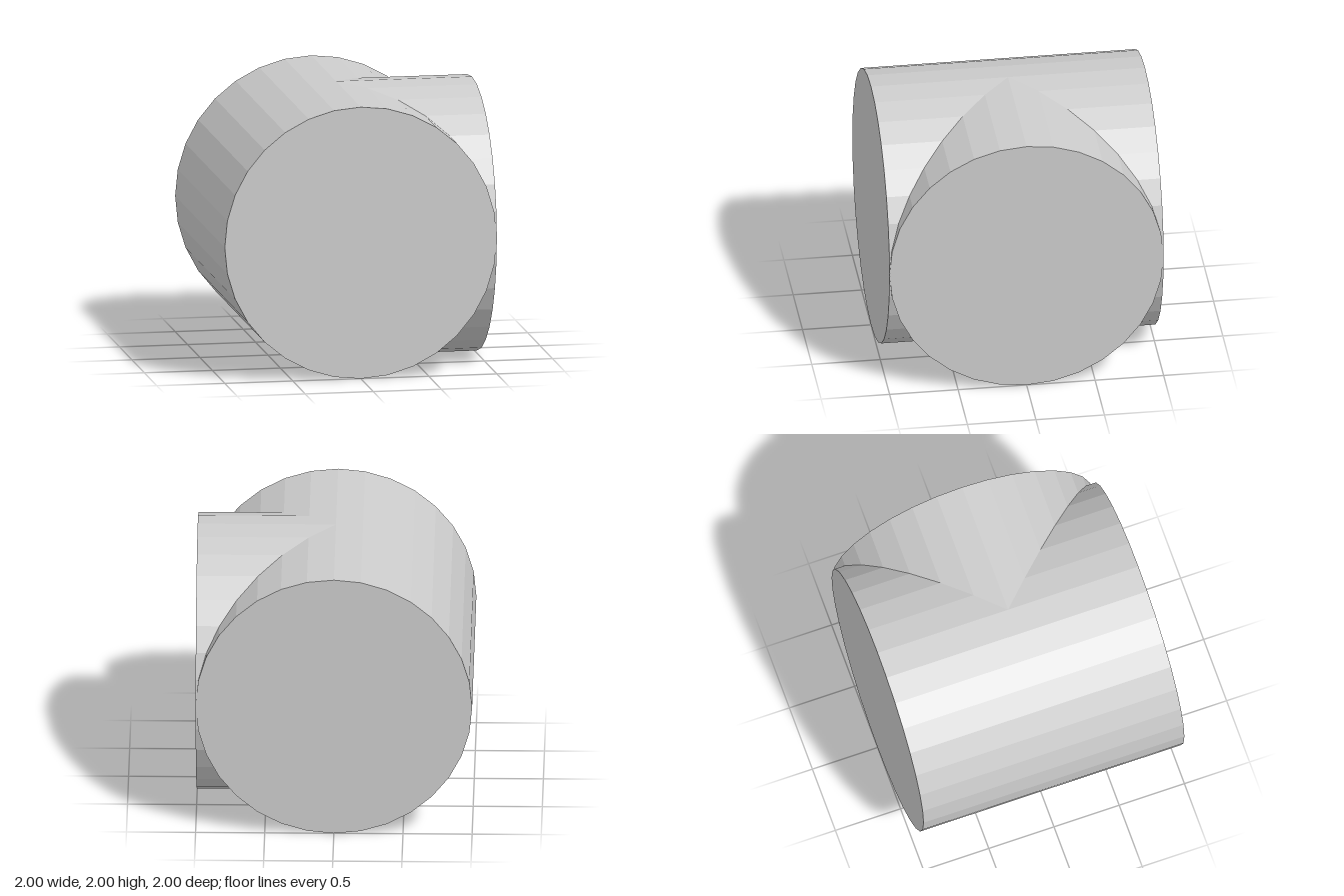
import * as THREE from 'three';
import { mergeGeometries } from 'three/addons/utils/BufferGeometryUtils.js';

const SIDES = 32;

// End disc facing +z, turned about y
const cap = (turn) => new THREE.CircleGeometry(1, SIDES).rotateY(turn).translate(Math.sin(turn), 0, Math.cos(turn));

// Through pipe along z: its two middle rings follow the mitre on the +x side
function pipeWall() {
  const g = new THREE.CylinderGeometry(1, 1, 2, SIDES, 3, true).rotateX(Math.PI / 2);
  const p = g.attributes.position;
  const row = (i) => Math.floor(i / (SIDES + 1));
  for (let i = 0; i < p.count; i++) {
    const cut = Math.max(0, p.getX(i));
    if (row(i) === 1) p.setZ(i, cut);
    if (row(i) === 2) p.setZ(i, -cut);
  }
  // Leave out the strip between the middle rings, where the branch opens
  const kept = [];
  const index = g.index.array;
  for (let i = 0; i < index.length; i += 3) {
    const tri = [index[i], index[i + 1], index[i + 2]];
    if (!tri.every((v) => row(v) === 1 || row(v) === 2)) kept.push(...tri);
  }
  g.setIndex(kept);
  return g;
}

// Side branch along +x: its inner ring is cut to the same mitre
function branchWall() {
  const g = new THREE.CylinderGeometry(1, 1, 2, SIDES, 1, true).rotateZ(-Math.PI / 2);
  const p = g.attributes.position;
  for (let i = 0; i < p.count; i++) {
    if (p.getX(i) < 0) p.setX(i, Math.abs(p.getZ(i)));
  }
  return g;
}

export function createModel() {
  const group = new THREE.Group();
  group.name = 'teeJunction';
  const material = new THREE.MeshStandardMaterial({ color: 0xcccccc, flatShading: true });

  const add = (name, parts) => {
    const geometry = mergeGeometries(parts);
    geometry.translate(0, 1, 0);
    geometry.computeVertexNormals();
    const mesh = new THREE.Mesh(geometry, material);
    mesh.name = name;
    group.add(mesh);
  };

  add('mainCylinder', [pipeWall(), cap(0), cap(Math.PI)]);
  add('sideBranch', [branchWall(), cap(Math.PI / 2)]);
  return group;
}
